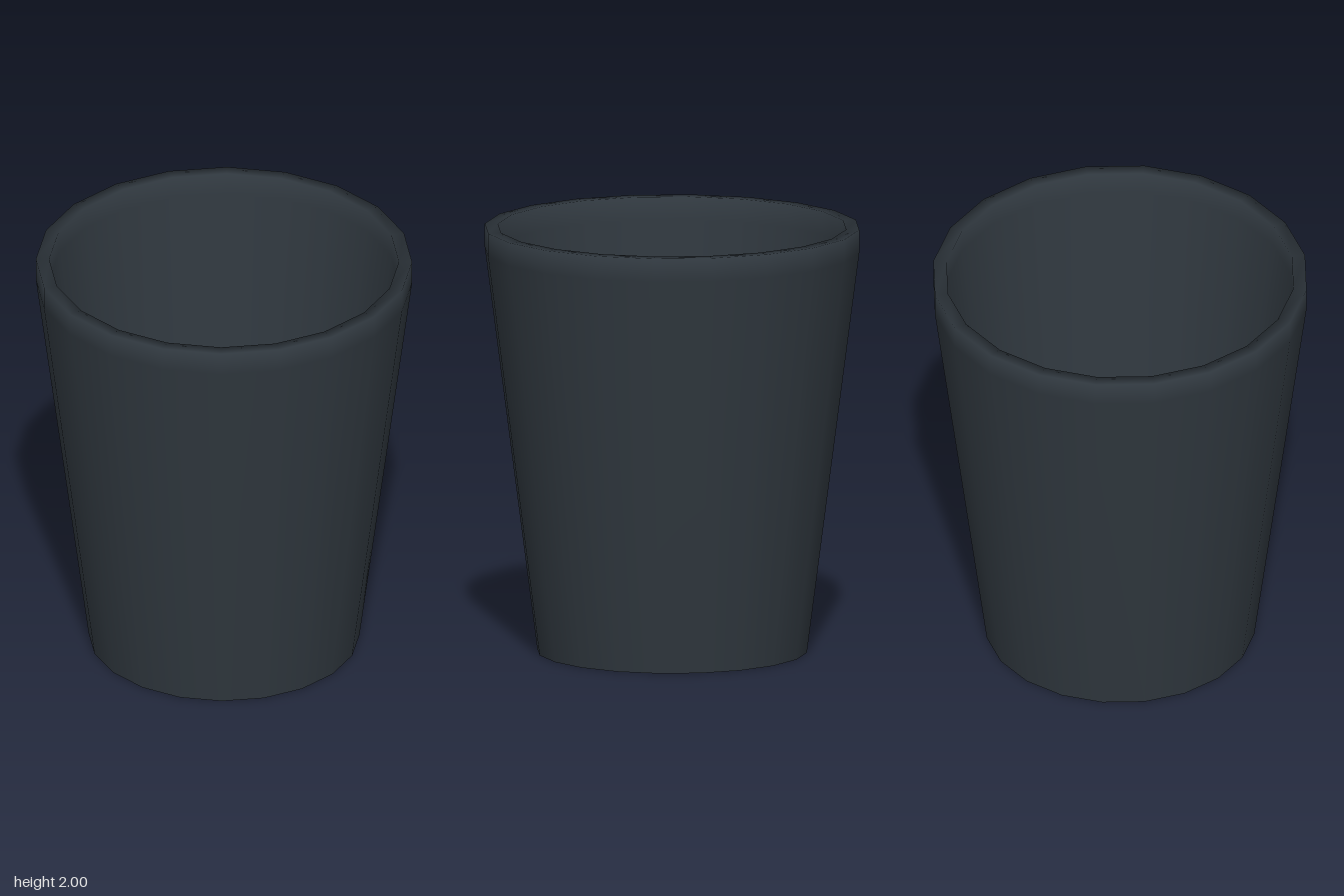
import * as THREE from 'three';

const SIDES = 20;

export function createModel() {
  const group = new THREE.Group();
  group.name = 'cup';
  const material = new THREE.MeshStandardMaterial({ color: 0x30383f });

  const add = (name, geometry) => {
    const mesh = new THREE.Mesh(geometry, material);
    mesh.name = name;
    group.add(mesh);
    return mesh;
  };

  // Tapered wall with a straight rim band: up the outside, over the lip, down the inside
  const profile = [
    [0.63, 0], [0.875, 1.89], [0.875, 2],
    [0.813, 2], [0.813, 1.89], [0.565, 0.06],
  ].map(([r, y]) => new THREE.Vector2(r, y));
  add('wall', new THREE.LatheGeometry(profile, SIDES));

  // Flat discs with hard edges: inner floor faces up, base faces down
  const floor = add('innerFloor', new THREE.CircleGeometry(0.565, SIDES).rotateX(-Math.PI / 2));
  floor.position.y = 0.06;
  add('base', new THREE.CircleGeometry(0.63, SIDES).rotateX(Math.PI / 2));

  return group;
}
